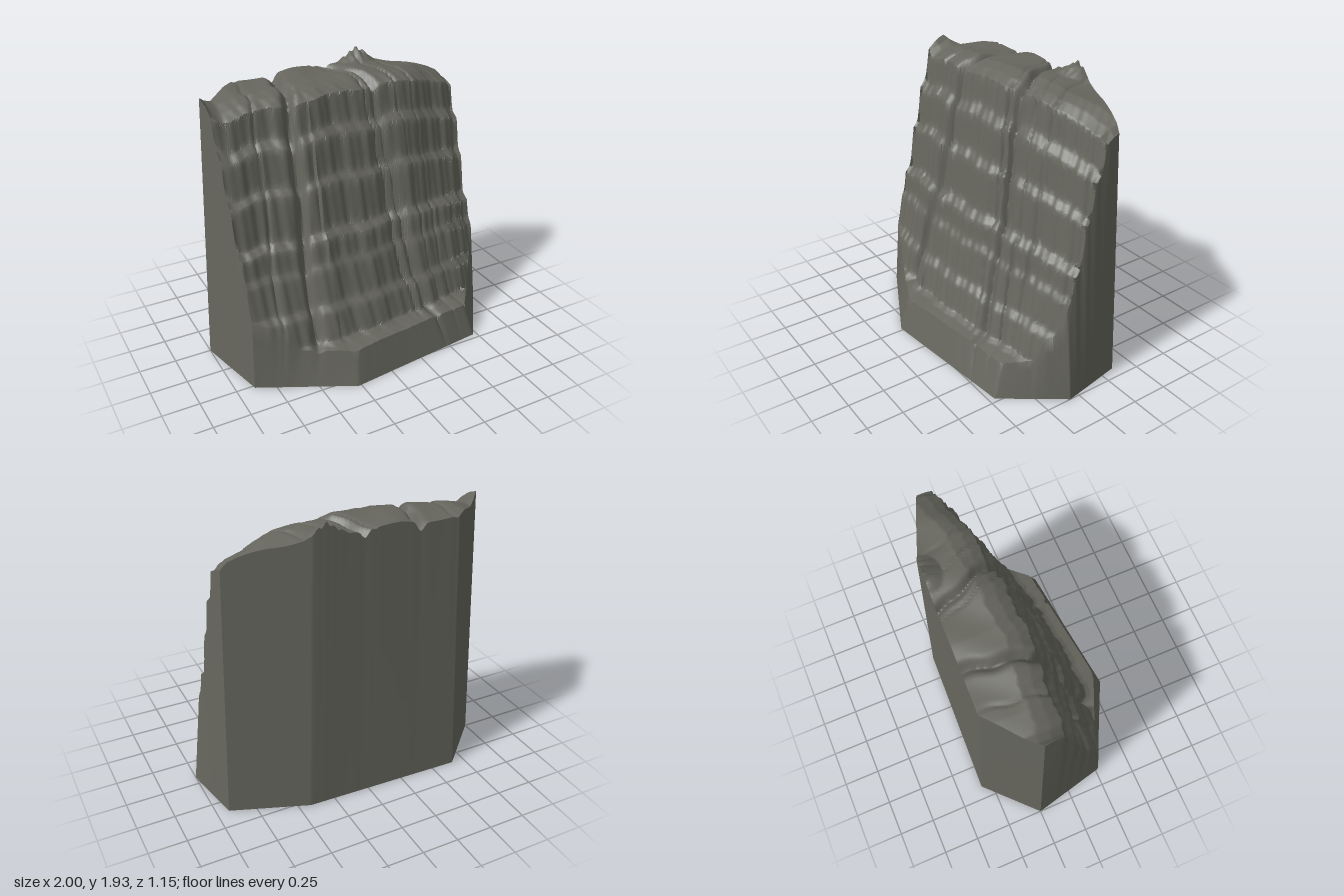
import * as THREE from 'three';
import { toCreasedNormals } from 'three/addons/utils/BufferGeometryUtils.js';

// Piecewise-linear lookup in a list of [key, value] with rising keys
function sample(list, k) {
  if (k <= list[0][0]) return list[0][1];
  for (let i = 1; i < list.length; i++) {
    const [k0, v0] = list[i - 1], [k1, v1] = list[i];
    if (k <= k1) return v0 + (v1 - v0) * (k - k0) / (k1 - k0);
  }
  return list[list.length - 1][1];
}

// Footprint on the ground and the inset rim where the walls end: back and front chains [x, z]
const BASE = {
  back: [[-1, -0.25], [-0.66, -0.58], [0.42, -0.545], [0.92, -0.355], [1, 0.07]],
  front: [[-1, -0.25], [-0.88, 0.27], [-0.27, 0.575], [0.72, 0.46], [1, 0.07]],
  xs: [-1, -0.88, -0.66, -0.27, 0.42, 0.72, 0.92, 1],
};
const RIM = {
  back: [[-0.925, -0.24], [-0.62, -0.505], [0.36, -0.485], [0.86, -0.315], [0.93, 0.07]],
  front: [[-0.925, -0.24], [-0.86, 0.24], [-0.25, 0.505], [0.68, 0.39], [0.93, 0.07]],
  xs: [-0.925, -0.86, -0.62, -0.25, 0.36, 0.68, 0.86, 0.93],
};
const COLUMNS = [26, 20, 26, 46, 30, 22, 26]; // per stretch between corners
const ROWS = 120, WALL = 4;

// Stepped cliff section: [z, height] from the back to the foot
const TERRACES = [
  [-0.5, 1.845], [-0.2, 1.855], [-0.12, 1.83], [-0.05, 1.79], [-0.02, 1.6], [0.03, 1.54],
  [0.06, 1.3], [0.1, 1.25], [0.14, 0.96], [0.19, 0.91], [0.21, 0.77], [0.24, 0.72],
  [0.29, 0.5], [0.33, 0.45], [0.38, 0.27], [0.42, 0.25], [0.51, 0.23], [0.57, 0.1],
];
// How far the steps lie back, and the crest height, along x
const SETBACK = [[-0.9, 0.05], [-0.6, 0.03], [-0.3, 0], [0.1, 0.02], [0.5, 0.07], [0.88, 0.17]];
const CREST = [
  [-0.92, 1.84], [-0.89, 1.81], [-0.83, 1.78], [-0.7, 1.82], [-0.4, 1.83], [-0.2, 1.855],
  [0.1, 1.85], [0.35, 1.85], [0.6, 1.8], [0.82, 1.74], [0.86, 1.7],
];
// Slanting crevices: x at the back, slant with z, half width, push-back, drop
const CREVICES = [
  [-0.35, -0.13, 0.03, 0.05, 0.06],
  [0.02, 0.46, 0.028, 0.035, 0.05],
  [0.2, 0.42, 0.013, 0.012, 0.01],
  [-0.05, 0.42, 0.013, 0.012, 0.01],
  [0.36, 0.36, 0.015, 0.015, 0.01],
  [-0.6, -0.1, 0.013, 0.012, 0.01],
];

function height(x, z) {
  // Gentle waviness along the leaning strata
  const lean = x - 0.3 * (z + 0.5) * (x > -0.3 ? 1 : 0);
  let back = sample(SETBACK, x) + 0.008 * Math.sin(lean * 17 + z * 9)
    + 0.005 * Math.sin(lean * 43 + 1) + 0.003 * Math.sin(lean * 91 - z * 30);
  let drop = 0.006 * Math.sin(x * 13 + z * 11);
  for (const [x0, slant, width, push, sink] of CREVICES) {
    const d = Math.abs(x - x0 - slant * (z + 0.5) - 0.01 * Math.sin(z * 25)) / width;
    const g = Math.exp(-d * d);
    back += push * g;
    drop += sink * g;
  }
  let h = sample(TERRACES, z + back);
  h *= sample(CREST, x) / 1.855;
  // Small jagged peak on the back rim
  const peak = Math.max(0, 1 - Math.hypot((x - 0.27) / 0.14, (z + 0.49) / 0.12));
  h += peak * (0.075 + 0.015 * Math.sin(x * 120));
  return Math.max(0.1, h - drop * Math.min(1, h));
}

// One cross-section from the back foot over the cliff to the front foot
function section(bx, rx) {
  const bb = sample(BASE.back, bx), bf = sample(BASE.front, bx);
  const rb = sample(RIM.back, rx), rf = sample(RIM.front, rx);
  const hb = height(rx, rb), hf = height(rx, rf);
  const pts = [];
  const wall = (z0, z1, h, t) => pts.push([bx + (rx - bx) * t, h * t, z0 + (z1 - z0) * t]);
  for (let i = 0; i < WALL; i++) wall(bb, rb, hb, i / WALL);
  for (let j = 0; j <= ROWS; j++) {
    const z = rb + (rf - rb) * j / ROWS;
    pts.push([rx, height(rx, z), z]);
  }
  for (let i = WALL - 1; i >= 0; i--) wall(bf, rf, hf, i / WALL);
  return pts;
}

function buildCliff() {
  const sections = [];
  COLUMNS.forEach((n, s) => {
    const last = s === COLUMNS.length - 1;
    for (let i = 0; i < n + (last ? 1 : 0); i++) {
      const t = i / n;
      sections.push(section(
        THREE.MathUtils.lerp(BASE.xs[s], BASE.xs[s + 1], t),
        THREE.MathUtils.lerp(RIM.xs[s], RIM.xs[s + 1], t)));
    }
  });
  const m = sections[0].length, index = [];
  for (let i = 0; i < sections.length - 1; i++) {
    for (let j = 0; j < m - 1; j++) {
      const a = i * m + j, b = a + 1, c = a + m, d = c + 1;
      index.push(a, b, c, b, d, c);
    }
  }
  const geo = new THREE.BufferGeometry();
  geo.setAttribute('position', new THREE.Float32BufferAttribute(sections.flat(2), 3));
  geo.setIndex(index);
  return toCreasedNormals(geo, 0.75);
}

export function createModel() {
  const group = new THREE.Group();
  group.name = 'cliff';
  const stone = new THREE.MeshStandardMaterial({ color: 0x66665e });

  const rock = new THREE.Mesh(buildCliff(), stone);
  rock.name = 'rockFace';
  group.add(rock);

  // Flat underside
  const outline = [...BASE.back, ...BASE.front.slice(1, -1).reverse()];
  const shape = new THREE.Shape(outline.map(([x, z]) => new THREE.Vector2(x, z)));
  const under = new THREE.Mesh(new THREE.ShapeGeometry(shape).rotateX(Math.PI / 2), stone);
  under.name = 'underside';
  group.add(under);
  return group;
}
